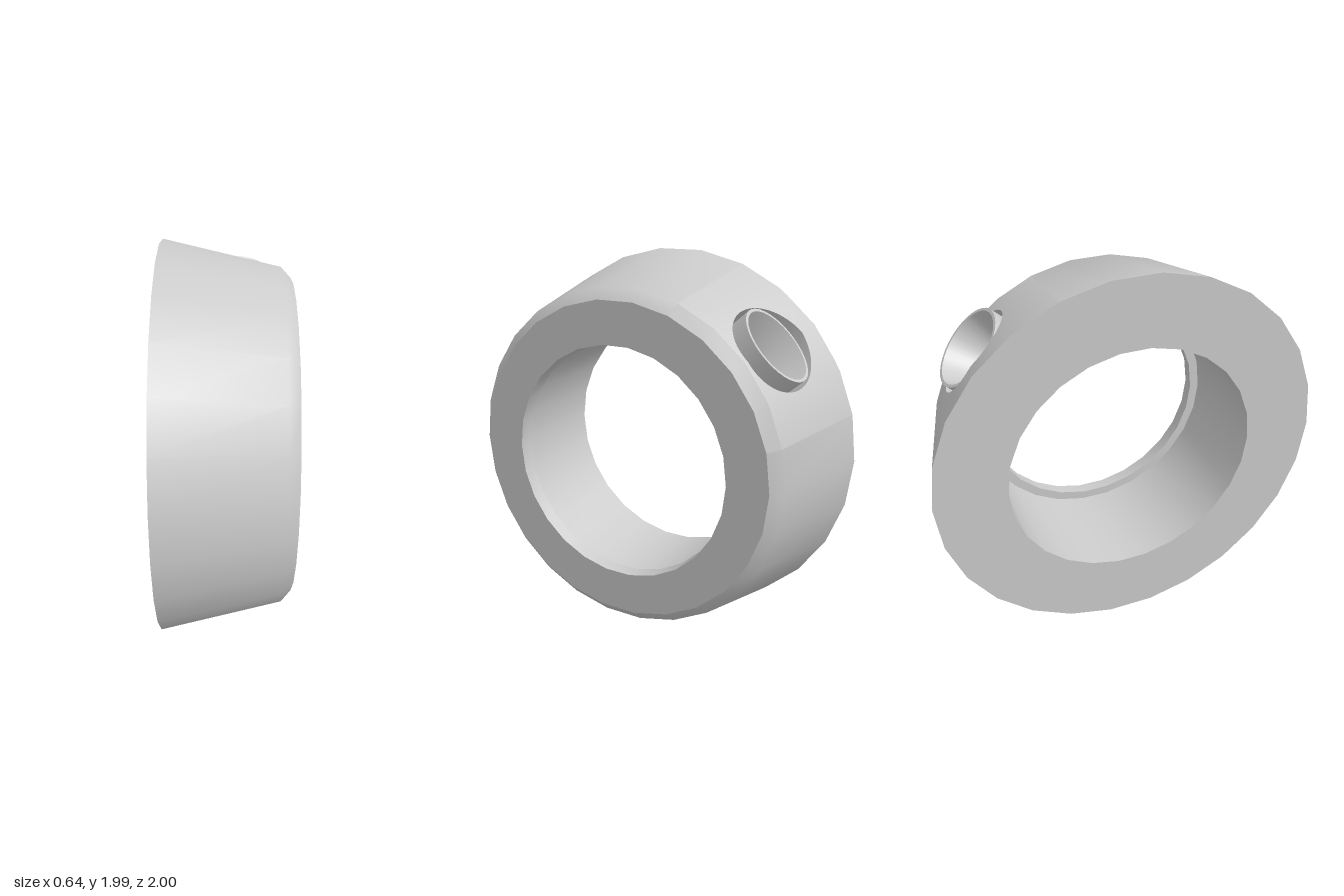
import * as THREE from 'three';
import { toCreasedNormals } from 'three/addons/utils/BufferGeometryUtils.js';

const SIDES = 26, STEP = (2 * Math.PI) / SIDES;
const X0 = -0.32, X1 = 0.27, R0 = 1, R1 = 0.863;
const SCREW_X = 0.025, HOLE_R = 0.225;
const material = new THREE.MeshStandardMaterial({ color: 0xcccccc });

// Radius of the faceted taper at x and angle a (a = 0 lies on a ridge)
function taperRadius(x, a) {
  const local = (((a % STEP) + STEP) % STEP) - STEP / 2;
  const r = R0 + ((R1 - R0) * (x - X0)) / (X1 - X0);
  return (r * Math.cos(STEP / 2)) / Math.cos(local);
}

function turned(points, sides, start = 0, length = Math.PI * 2) {
  const profile = points.map(([r, h]) => new THREE.Vector2(r, h));
  return toCreasedNormals(new THREE.LatheGeometry(profile, sides, start, length), 0.665);
}

// Skin between closed rows of points
function loft(rows) {
  const n = rows[0].length, index = [];
  for (let i = 0; i < rows.length - 1; i++) {
    for (let j = 0; j < n; j++) {
      const k = (j + 1) % n;
      const a = i * n + j, b = i * n + k, c = a + n, d = b + n;
      index.push(a, c, b, b, c, d);
    }
  }
  const geometry = new THREE.BufferGeometry();
  geometry.setAttribute('position', new THREE.Float32BufferAttribute(rows.flat(2), 3));
  geometry.setIndex(index);
  geometry.computeVertexNormals();
  return geometry;
}

export function createModel() {
  const group = new THREE.Group();
  const add = (parent, name, geometry) => {
    const mesh = new THREE.Mesh(geometry, material);
    mesh.name = name;
    parent.add(mesh);
  };

  // Ring turned about the x axis
  const ring = new THREE.Group();
  ring.name = 'collar';
  ring.rotation.z = -Math.PI / 2;
  const taper = [[R0, X0], [R1, X1], [0.808, 0.32]];
  add(ring, 'taperedOuterWall', turned(taper, SIDES - 4, 18 * STEP, (SIDES - 4) * STEP));
  add(ring, 'rimChamfer', turned(taper.slice(1), 4, 14 * STEP, 4 * STEP));
  add(ring, 'facesAndBore', turned(
    [[0.808, 0.32], [0.595, 0.32], [0.59, 0.25], [0.639, 0.25], [0.639, X0], [R0, X0]], SIDES));
  group.add(ring);

  // Screw seat: y points outward along the screw, z runs around the ring
  const seat = new THREE.Group();
  seat.name = 'screwSeat';
  seat.rotation.x = -(Math.PI / 2 - 3 * STEP);

  // Piece of the outer wall with a round hole, four facets wide
  const N = 64, RINGS = 5;
  const onTaper = (x, a) => {
    const r = taperRadius(x, a);
    return [x, r * Math.cos(a), r * Math.sin(a)];
  };
  const rows = [];
  for (let i = 0; i <= RINGS; i++) {
    const row = [];
    for (let j = 0; j < N; j++) {
      const t = (j / N) * Math.PI * 2, c = Math.cos(t), s = Math.sin(t);
      const m = Math.max(Math.abs(c), Math.abs(s));
      const edgeX = (X0 + X1) / 2 + ((X1 - X0) / 2) * (c / m);
      const edgeA = 2 * STEP * (s / m);
      const holeX = SCREW_X + HOLE_R * c;
      let holeA = 0;
      for (let k = 0; k < 4; k++) holeA = Math.asin((HOLE_R * s) / taperRadius(holeX, holeA));
      const f = i / RINGS;
      row.push(onTaper(edgeX + (holeX - edgeX) * f, edgeA + (holeA - edgeA) * f));
    }
    rows.push(row);
  }
  const panel = loft(rows);
  const p = panel.attributes.position, normal = new THREE.Vector3();
  for (let i = 0; i < p.count; i++) {
    const a = Math.atan2(p.getZ(i), p.getY(i));
    normal.set((R0 - R1) / (X1 - X0), Math.cos(a), Math.sin(a)).normalize();
    panel.attributes.normal.setXYZ(i, normal.x, normal.y, normal.z);
  }
  add(seat, 'outerWallWithHole', panel);

  // Wall and floor of the hole
  const holeEdge = rows[RINGS];
  const floor = (radius) => holeEdge.map(([x, , z]) =>
    [SCREW_X + ((x - SCREW_X) * radius) / HOLE_R, 0.7, (z * radius) / HOLE_R]);
  add(seat, 'screwHole', toCreasedNormals(loft([holeEdge, floor(HOLE_R), floor(0.2)]), 0.6));

  // Set screw with a tapered cup
  const screw = new THREE.Group();
  screw.name = 'setScrew';
  screw.position.x = SCREW_X;
  add(screw, 'screwBody', turned(
    [[0.205, 0.7], [0.205, 0.93], [0.19, 0.93], [0.13, 0.75], [0, 0.75]], 32));
  seat.add(screw);
  group.add(seat);

  // Rest the lowest facet on the ground
  group.children.forEach((part) => { part.position.y = Math.cos(STEP / 2); });
  return group;
}
